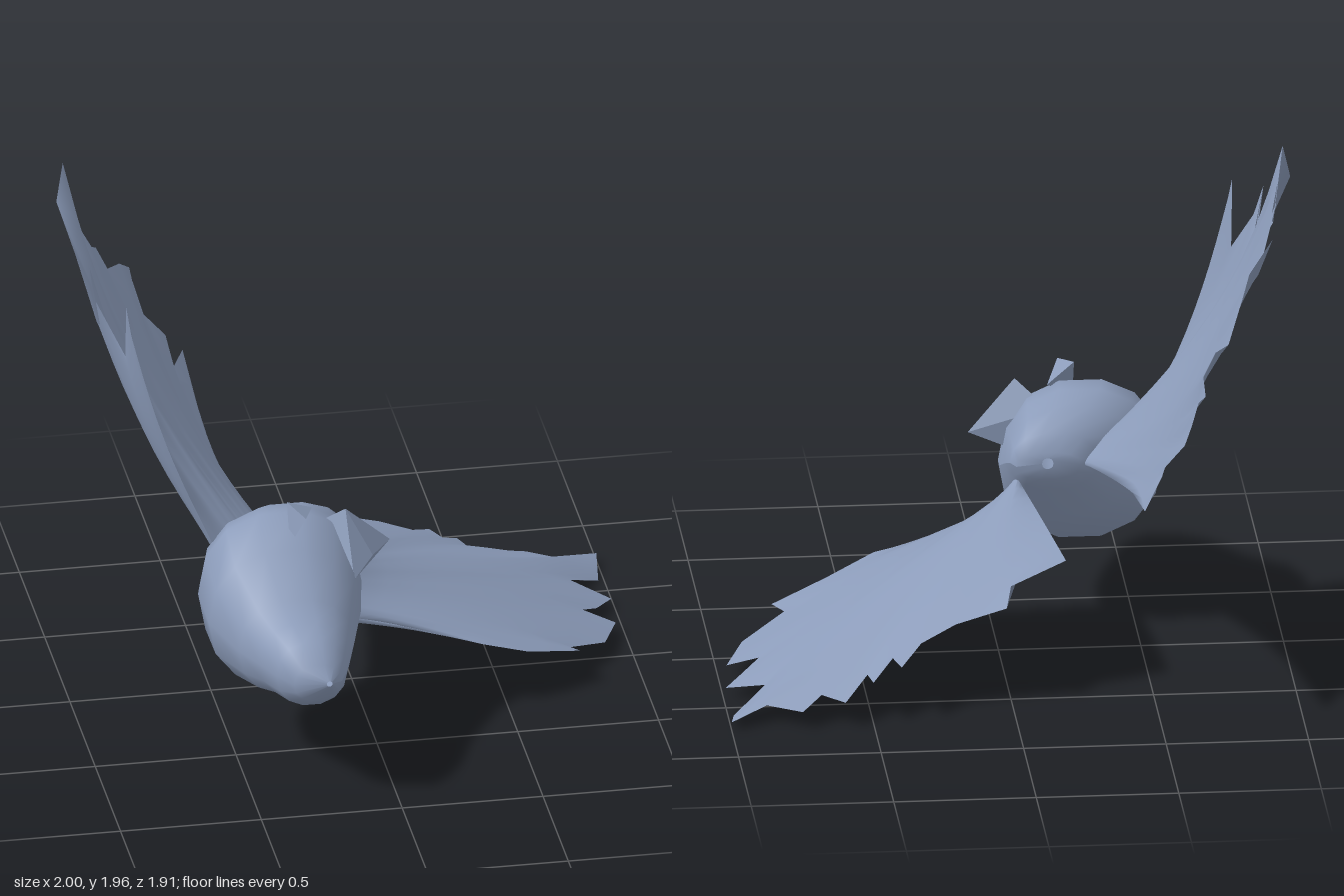
import * as THREE from 'three';
import { ConvexGeometry } from 'three/addons/geometries/ConvexGeometry.js';

const plumage = new THREE.MeshStandardMaterial({ color: 0x8c9cba, side: THREE.DoubleSide });
plumage.name = 'blue grey plumage';

// Indexed grid of rows x cols vertices with smooth normals
function gridGeometry(positions, rows, cols, flip = false) {
  const index = [];
  for (let i = 0; i < rows - 1; i++) {
    for (let j = 0; j < cols - 1; j++) {
      const a = i * cols + j, b = a + 1, c = a + cols, d = c + 1;
      if (flip) index.push(a, c, b, b, c, d);
      else index.push(a, b, c, b, d, c);
    }
  }
  const geo = new THREE.BufferGeometry();
  geo.setAttribute('position', new THREE.Float32BufferAttribute(positions, 3));
  geo.setIndex(index);
  geo.computeVertexNormals();
  return geo;
}

function addMesh(parent, name, geometry) {
  const mesh = new THREE.Mesh(geometry, plumage);
  mesh.name = name;
  parent.add(mesh);
}

// Body: rounded cross-sections [z, left x, right x, bottom y, top y]
function bodyGeometry() {
  const sections = [
    [0.96, -0.26, -0.24, 0.48, 0.5],
    [0.925, -0.37, -0.2, 0.41, 0.55],
    [0.86, -0.42, -0.17, 0.36, 0.61],
    [0.77, -0.47, -0.14, 0.35, 0.64],
    [0.67, -0.52, -0.11, 0.31, 0.68],
    [0.52, -0.6, -0.06, 0.275, 0.8],
    [0.36, -0.61, -0.03, 0.275, 0.87],
    [0.29, -0.59, -0.03, 0.3, 0.86],
    [0.2, -0.5, -0.04, 0.42, 0.82],
    [0.11, -0.36, -0.05, 0.55, 0.76],
    [0.08, -0.3, -0.07, 0.6, 0.7],
    [0.075, -0.2, -0.16, 0.64, 0.68],
  ];
  const sides = 14, pos = [];
  const soft = (v) => Math.sign(v) * Math.abs(v) ** 0.9;
  for (const [z, x0, x1, y0, y1] of sections) {
    for (let k = 0; k <= sides; k++) {
      const a = ((k % sides) / sides) * Math.PI * 2;
      pos.push((x0 + x1) / 2 + soft(Math.cos(a)) * (x1 - x0) / 2,
        (y0 + y1) / 2 + soft(Math.sin(a)) * (y1 - y0) / 2, z);
    }
  }
  return gridGeometry(pos, sections.length, sides + 1, true);
}

// Average of neighbouring outline points, so the wing is smooth away from its tips
function smoothed(points, i) {
  const reach = Math.min(2, i, points.length - 1 - i);
  const sum = new THREE.Vector3();
  for (let k = i - reach; k <= i + reach; k++) sum.add(points[k]);
  return sum.divideScalar(2 * reach + 1);
}

// Wing: ribs fan from the root line to a ragged feather outline, as two sheets
function makeWing(name, { rootFront, rootBack, normal, bow, thickness, outline }) {
  const wing = new THREE.Group();
  wing.name = name;
  const front = new THREE.Vector3(...rootFront), back = new THREE.Vector3(...rootBack);
  const n = new THREE.Vector3(...normal).normalize();
  const tips = outline.map((p) => new THREE.Vector3(...p));
  const count = tips.length, steps = 10;
  for (const side of [1, -1]) {
    const pos = [];
    tips.forEach((tip, i) => {
      const s = i / (count - 1);
      const chord = Math.sqrt(Math.max(0, Math.sin(Math.PI * s)));
      const root = front.clone().lerp(back, s);
      const soft = smoothed(tips, i);
      for (let j = 0; j <= steps; j++) {
        const t = j / steps;
        const half = thickness * chord * (1 - t) ** 0.9;
        const p = root.clone().lerp(soft.clone().lerp(tip, t ** 5), t)
          .addScaledVector(n, bow * Math.sin(Math.PI * t) * (0.5 + 0.6 * chord) + side * half);
        pos.push(p.x, p.y, p.z);
      }
    });
    addMesh(wing, side > 0 ? 'firstFeatherSheet' : 'secondFeatherSheet',
      gridGeometry(pos, count, steps + 1, side < 0));
  }
  return wing;
}

// Outlines run from the leading edge round the tips to the trailing edge
const leftWing = {
  rootFront: [-0.15, 0.41, 0.29], rootBack: [-0.09, 0.57, 0.12],
  normal: [0.37, 0.92, 0], bow: 0.015, thickness: 0.075,
  outline: [
    [0.17, 0.32, 0.27], [0.41, 0.26, 0.32], [0.58, 0.19, 0.27], [0.78, 0.13, 0.18],
    [0.74, 0.12, 0.13], [0.9, 0.06, 0], [0.97, 0.04, -0.18], [0.86, 0.08, -0.22],
    [0.92, 0.05, -0.28], [0.99, 0.03, -0.38], [0.86, 0.07, -0.47], [0.98, 0, -0.58],
    [1, 0.03, -0.73], [0.87, 0.06, -0.65], [0.75, 0.06, -0.73], [0.68, 0.1, -0.67],
    [0.6, 0.09, -0.73], [0.52, 0.16, -0.62], [0.5, 0.15, -0.7], [0.43, 0.21, -0.6],
    [0.4, 0.2, -0.69], [0.35, 0.24, -0.6], [0.2, 0.31, -0.57], [0.02, 0.36, -0.56],
    [0, 0.42, -0.5], [-0.2, 0.48, -0.42],
  ],
};

const rightWing = {
  rootFront: [-0.55, 0.74, 0.3], rootBack: [-0.31, 0.64, 0.1],
  normal: [-0.92, -0.39, -0.1], bow: 0.05, thickness: 0.05,
  outline: [
    [-0.83, 1.56, 0.27], [-0.84, 1.65, 0.22], [-0.83, 1.42, 0.15], [-0.92, 1.6, 0.06],
    [-0.93, 1.7, 0], [-0.91, 1.5, 0.03], [-0.96, 1.7, -0.15], [-1, 1.83, -0.27],
    [-0.97, 1.96, -0.31], [-0.94, 1.66, -0.27], [-0.95, 1.83, -0.33], [-0.92, 1.65, -0.32],
    [-0.94, 1.78, -0.4], [-0.88, 1.5, -0.36], [-0.92, 1.68, -0.49], [-0.84, 1.54, -0.46],
    [-0.81, 1.49, -0.55], [-0.75, 1.35, -0.65], [-0.7, 1.34, -0.7], [-0.65, 1.28, -0.78],
    [-0.66, 1.2, -0.76], [-0.63, 1.2, -0.82], [-0.61, 1.1, -0.78], [-0.58, 1.05, -0.84],
    [-0.51, 0.97, -0.84], [-0.51, 0.89, -0.72], [-0.43, 0.85, -0.95], [-0.44, 0.75, -0.53],
    [-0.41, 0.7, -0.16],
  ],
};

// Pointed feather tufts, each a small wedge sunk into the body
const tufts = {
  sideTuft: [[-0.09, 0.87, 0.38], [-0.08, 0.65, 0.5], [0.08, 0.7, 0.31],
    [0, 0.7, 0.42], [-0.2, 0.78, 0.31], [-0.06, 0.64, 0.31]],
  crestTuft: [[-0.3, 0.92, 0.39], [-0.25, 0.9, 0.49], [-0.2, 0.86, 0.33], [-0.3, 0.78, 0.45]],
};

export function createModel() {
  const bird = new THREE.Group();
  bird.name = 'bird';
  addMesh(bird, 'body', bodyGeometry());
  bird.add(makeWing('leftWing', leftWing), makeWing('rightWing', rightWing));
  for (const [name, corners] of Object.entries(tufts)) {
    addMesh(bird, name, new ConvexGeometry(corners.map((c) => new THREE.Vector3(...c))));
  }
  return bird;
}
